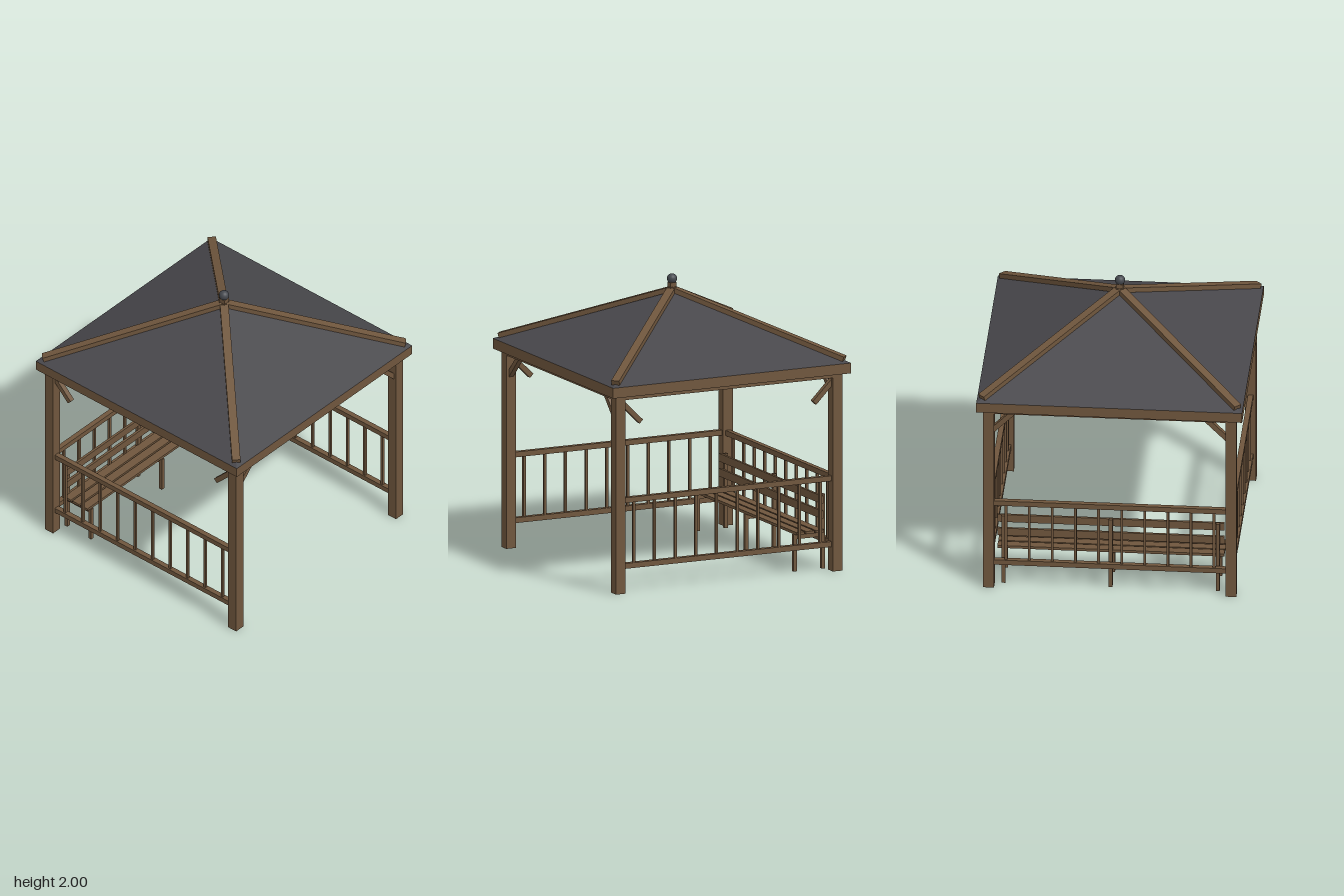
import * as THREE from 'three';

export function createModel() {
  const model = new THREE.Group();
  model.name = 'gazebo';

  const material = (name, color) => {
    const m = new THREE.MeshStandardMaterial({ color });
    m.name = name;
    return m;
  };
  const wood = material('brown wood', 0x6f563d);
  const roofing = material('dark roofing', 0x48474b);
  const metal = material('finial grey', 0x44474d);

  const add = (parent, name, geometry, mat, x, y, z) => {
    const mesh = new THREE.Mesh(geometry, mat);
    mesh.name = name;
    mesh.position.set(x, y, z);
    parent.add(mesh);
    return mesh;
  };
  const box = (parent, name, w, h, d, x, y, z) =>
    add(parent, name, new THREE.BoxGeometry(w, h, d), wood, x, y, z);
  const group = (name) => {
    const g = new THREE.Group();
    g.name = name;
    model.add(g);
    return g;
  };

  const P = 0.833; // post centre line
  const W = 0.075; // post width

  // Corner posts and their diagonal braces
  const frame = group('frame');
  for (const sx of [-1, 1]) {
    for (const sz of [-1, 1]) {
      box(frame, 'post', W, 1.357, W, sx * P, 0.6785, sz * P);
      const across = box(frame, 'crossBrace', 0.24, 0.036, 0.036, sx * 0.75, 1.275, sz * P);
      across.rotation.z = -sx * Math.PI / 4;
      // the side braces drop away from the posts
      const side = box(frame, 'sideBrace', 0.036, 0.036, 0.24, sx * P, 1.275, sz * 0.75);
      side.rotation.x = -sz * Math.PI / 4;
    }
  }

  // Ring beams with fascia boards around the eaves
  for (const s of [-1, 1]) {
    box(frame, 'crossBeam', 1.741, 0.1, W, 0, 1.407, s * P);
    box(frame, 'sideBeam', W, 0.1, 1.591, s * P, 1.407, 0);
    box(frame, 'crossFascia', 1.828, 0.072, 0.02, 0, 1.423, s * 0.904);
    box(frame, 'sideFascia', 0.02, 0.072, 1.788, s * 0.904, 1.423, 0);
  }

  // Pyramid roof with a closed underside
  const roof = group('roof');
  const pyramid = new THREE.ConeGeometry(0.914 * Math.SQRT2, 0.422, 4).toNonIndexed();
  pyramid.rotateY(Math.PI / 4);
  pyramid.computeVertexNormals();
  add(roof, 'roofCover', pyramid, roofing, 0, 1.459 + 0.211, 0);

  // Hip boards running from the peak to each corner
  const run = 0.88 * Math.SQRT2, drop = 0.408;
  for (let i = 0; i < 4; i++) {
    const hip = group('hip');
    roof.add(hip);
    hip.rotation.y = Math.PI / 4 + i * Math.PI / 2;
    const board = box(hip, 'hipBoard', 0.058, 0.034, Math.hypot(run, drop), 0, 1.895 - drop / 2, run / 2);
    board.rotation.x = Math.atan2(drop, run);
  }

  // Finial
  box(roof, 'finialBase', 0.048, 0.08, 0.048, 0, 1.9, 0);
  add(roof, 'finialBall', new THREE.SphereGeometry(0.035, 20, 14), metal, 0, 1.965, 0);

  // Railings on the back and both sides, front left open
  for (const [name, angle] of [['backRailing', Math.PI], ['leftRailing', Math.PI / 2], ['rightRailing', -Math.PI / 2]]) {
    const railing = group(name);
    railing.rotation.y = angle;
    box(railing, 'topRail', 1.6, 0.037, 0.037, 0, 0.649, P);
    box(railing, 'bottomRail', 1.6, 0.037, 0.037, 0, 0.188, P);
    for (let i = 0; i < 10; i++) {
      box(railing, 'baluster', 0.018, 0.43, 0.018, (i - 4.5) * 0.159, 0.418, P);
    }
  }

  // Bench along the back
  const bench = group('bench');
  for (const x of [-0.737, 0, 0.737]) {
    box(bench, 'frontLeg', 0.026, 0.258, 0.026, x, 0.129, -0.567);
    box(bench, 'rearLeg', 0.026, 0.522, 0.026, x, 0.261, -0.783);
    box(bench, 'seatBearer', 0.026, 0.034, 0.235, x, 0.242, -0.675);
  }
  for (const z of [-0.593, -0.668, -0.743]) {
    box(bench, 'seatSlat', 1.56, 0.019, 0.063, 0, 0.269, z);
  }
  for (const y of [0.384, 0.489]) {
    box(bench, 'backSlat', 1.56, 0.056, 0.018, 0, y, -0.761);
  }

  return model;
}
